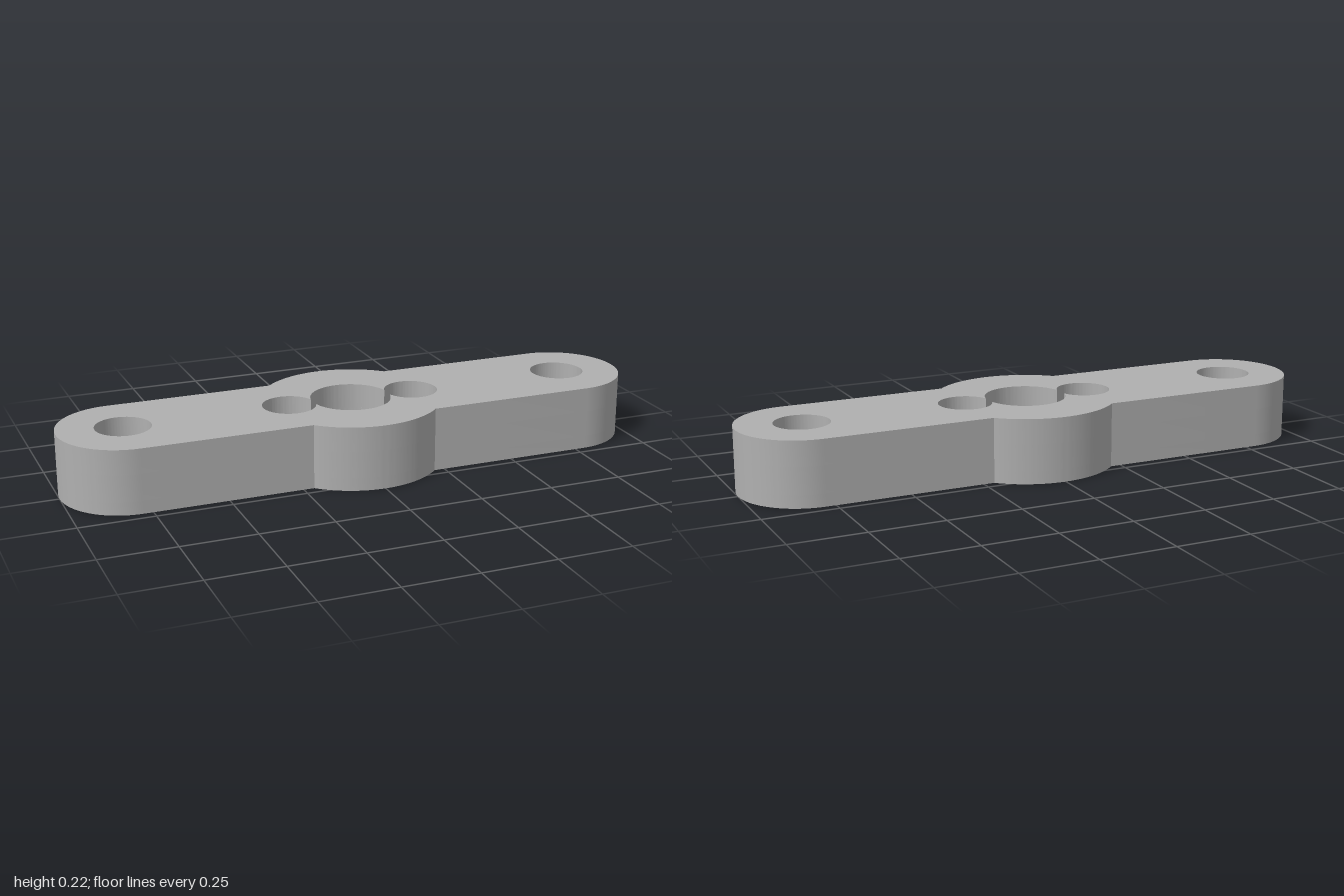
import * as THREE from 'three';
import { toCreasedNormals } from 'three/addons/utils/BufferGeometryUtils.js';

const ARM_R = 0.217, ARM_X = 0.783, HUB_R = 0.305;

// Outline: rounded bar with a round hub bulging in the middle
function outline() {
  const a = Math.asin(ARM_R / HUB_R);
  const s = new THREE.Shape();
  s.absarc(ARM_X, 0, ARM_R, -Math.PI / 2, Math.PI / 2, false);
  s.absarc(0, 0, HUB_R, a, Math.PI - a, false);
  s.absarc(-ARM_X, 0, ARM_R, Math.PI / 2, Math.PI * 1.5, false);
  s.absarc(0, 0, HUB_R, Math.PI + a, Math.PI * 2 - a, false);
  return s;
}

// Hole made of a row of overlapping circles [x, radius], ordered left to right
function chainHole(circles) {
  const angle = ([x, r], [x2, r2]) => {
    const d = Math.abs(x2 - x);
    return Math.acos((d * d + r * r - r2 * r2) / (2 * d * r));
  };
  const arcs = circles.map((c, i) => ({
    x: c[0], r: c[1],
    right: i < circles.length - 1 ? angle(c, circles[i + 1]) : 0,
    left: i > 0 ? Math.PI - angle(c, circles[i - 1]) : Math.PI,
  }));
  const p = new THREE.Path();
  for (const c of arcs) p.absarc(c.x, 0, c.r, -c.left, -c.right, false);
  for (const c of arcs.reverse()) p.absarc(c.x, 0, c.r, c.right, c.left, false);
  return p;
}

export function createModel() {
  const group = new THREE.Group();
  group.name = 'mountingArm';
  const grey = new THREE.MeshStandardMaterial({ color: 0xb0b0b0 });
  grey.name = 'grey';

  // One slice of the plate between two heights
  function layer(name, y0, y1, holes) {
    const shape = outline();
    const bolts = [-ARM_X, ARM_X].map((x) => [[x, 0.092]]);
    shape.holes = [...bolts, ...holes].map(chainHole);
    const geo = new THREE.ExtrudeGeometry(shape, { depth: y1 - y0, bevelEnabled: false, curveSegments: 32 });
    geo.rotateX(-Math.PI / 2);
    geo.translate(0, y0, 0);
    const mesh = new THREE.Mesh(toCreasedNormals(geo, 0.5), grey);
    mesh.name = name;
    group.add(mesh);
  }

  const slotL = [[-0.257, 0.048], [-0.213, 0.048]];
  const slotR = [[0.213, 0.048], [0.257, 0.048]];

  // Wide recess underneath, joined to the screw slots
  layer('recessLayer', 0, 0.043, [[...slotL, [0, 0.18], ...slotR]]);
  // Centre bore with separate screw slots
  layer('slotLayer', 0.043, 0.133, [slotL, [[0, 0.136]], slotR]);
  // Round screw head pockets opening into the centre bore
  layer('pocketLayer', 0.133, 0.217, [[[-0.22, 0.09], [0, 0.136], [0.22, 0.09]]]);

  return group;
}
